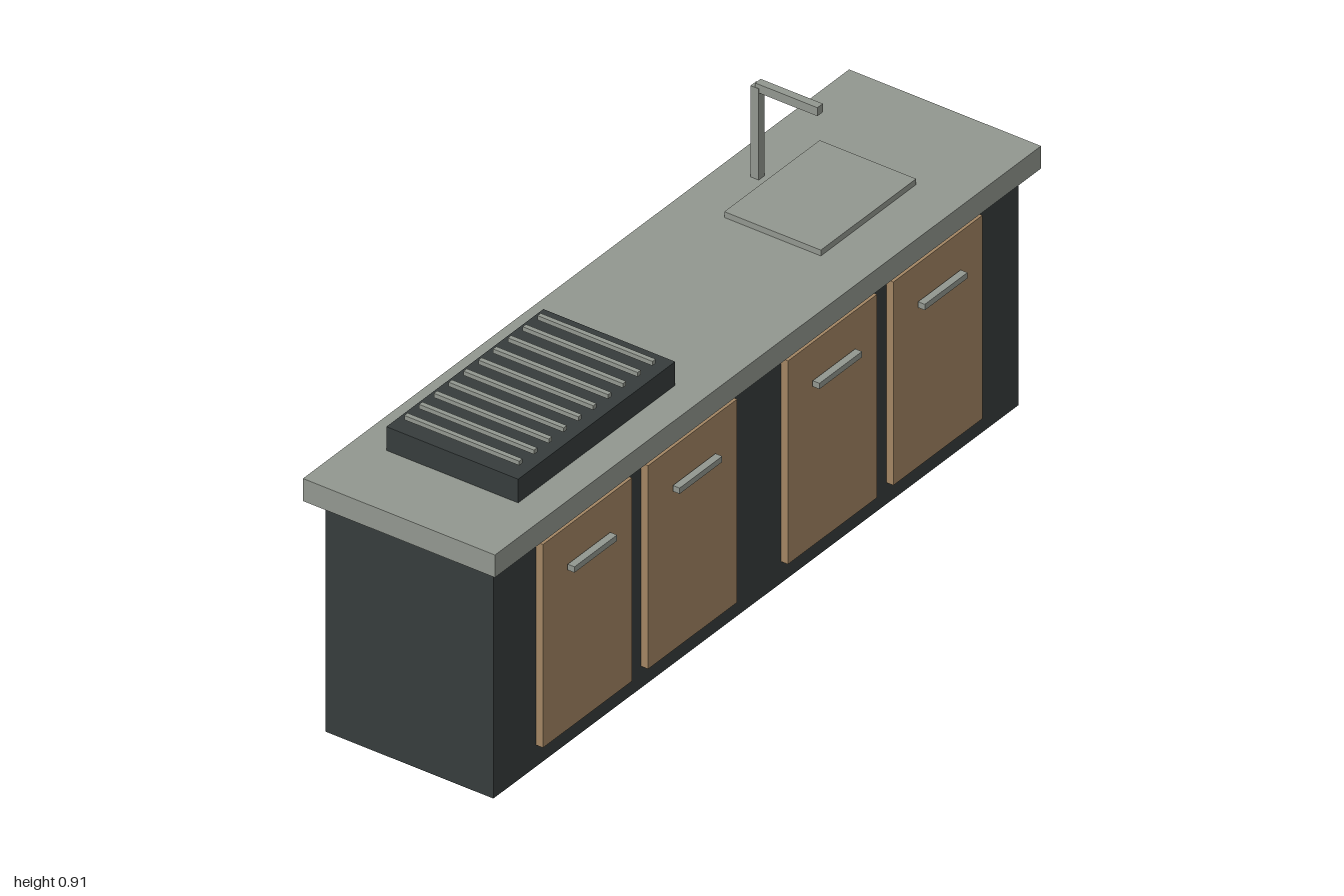
import * as THREE from 'three';

const material = (name, color) => {
  const m = new THREE.MeshStandardMaterial({ color });
  m.name = name;
  return m;
};

export function createModel() {
  const charcoal = material('charcoal', 0x363c3c);
  const stone = material('stone grey', 0x92978f);
  const wood = material('wood', 0xa28563);

  const model = new THREE.Group();
  model.name = 'outdoorKitchen';

  // Box given by its [min, max] range on each axis
  const box = (name, mat, [x0, x1], [y0, y1], [z0, z1], parent = model) => {
    const mesh = new THREE.Mesh(new THREE.BoxGeometry(x1 - x0, y1 - y0, z1 - z0), mat);
    mesh.position.set((x0 + x1) / 2, (y0 + y1) / 2, (z0 + z1) / 2);
    mesh.name = name;
    parent.add(mesh);
  };
  const group = (name) => {
    const g = new THREE.Group();
    g.name = name;
    model.add(g);
    return g;
  };

  // Cabinet and worktop
  box('cabinet', charcoal, [-0.962, 0.962], [0, 0.602], [-0.228, 0.221]);
  box('worktop', stone, [-1, 1], [0.602, 0.66], [-0.26, 0.253]);

  // Doors, each with a bar handle floating just in front
  for (const x of [-0.643, -0.258, 0.254, 0.64]) {
    const unit = group('doorUnit');
    box('door', wood, [x - 0.163, x + 0.163], [0.056, 0.58], [0.221, 0.24], unit);
    box('handle', stone, [x - 0.078, x + 0.078], [0.471, 0.486], [0.244, 0.262], unit);
  }

  // Grill with ten bars above it
  const grill = group('grill');
  box('grillBody', charcoal, [-0.804, -0.229], [0.66, 0.721], [-0.18, 0.172], grill);
  for (let i = 0; i < 10; i++) {
    const x = -0.764 + i * 0.0542;
    box('grillBar', stone, [x - 0.006, x + 0.006], [0.73, 0.741], [-0.157, 0.15], grill);
  }

  // Sink plate and tap
  box('sink', stone, [0.369, 0.718], [0.66, 0.675], [-0.133, 0.125]);
  const tap = group('tap');
  box('tapColumn', stone, [0.532, 0.554], [0.66, 0.895], [-0.182, -0.16], tap);
  box('tapSpout', stone, [0.533, 0.553], [0.884, 0.906], [-0.17, -0.004], tap);

  return model;
}
